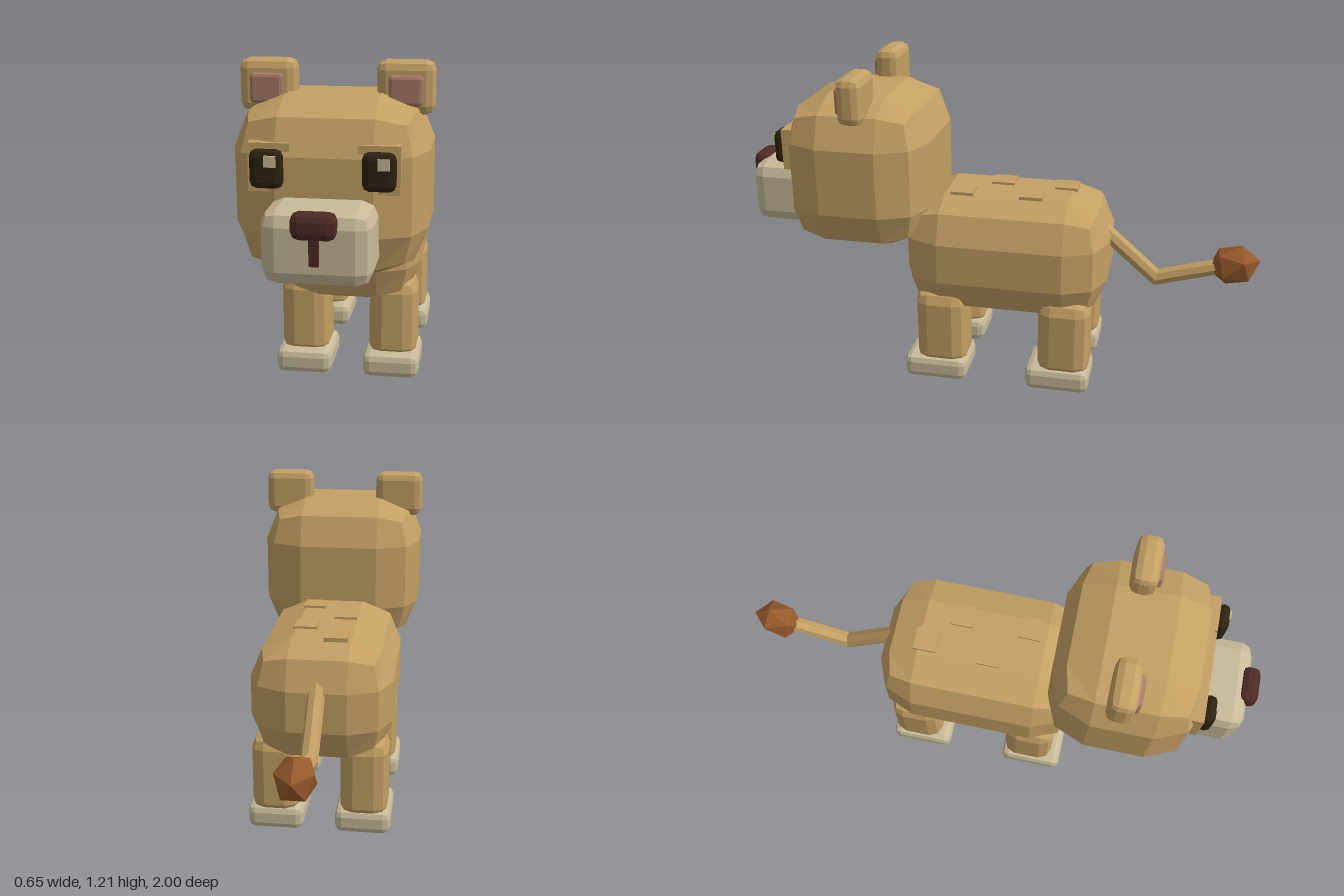
import * as THREE from 'three';

const mat = (name, color) => {
  const m = new THREE.MeshStandardMaterial({ color });
  m.name = name;
  return m;
};

// Flat normals: every face gets its own corners
function faceted(geo) {
  const g = geo.index ? geo.toNonIndexed() : geo;
  g.computeVertexNormals();
  return g;
}

// Box with one facet of rounding (radius r) along all edges
function softBox(w, h, d, r) {
  const half = [w / 2, h / 2, d / 2];
  const geo = new THREE.BoxGeometry(2, 2, 2, 3, 3, 3);
  const pos = geo.attributes.position;
  for (let i = 0; i < pos.count; i++) {
    const p = [pos.getX(i), pos.getY(i), pos.getZ(i)];
    const outer = p.map((v) => Math.abs(v) > 0.9);
    const k = r / Math.sqrt(outer.filter(Boolean).length);
    const q = p.map((v, a) => Math.sign(v) * (half[a] - r + (outer[a] ? k : 0)));
    pos.setXYZ(i, q[0], q[1], q[2]);
  }
  return faceted(geo);
}

export function createModel() {
  const model = new THREE.Group();
  model.name = 'lionCub';

  const fur = mat('tan fur', 0xc4a064);
  const cream = mat('cream', 0xc8bb9a);
  const noseBrown = mat('nose brown', 0x4e2a24);
  const eyeDark = mat('eye dark', 0x2e2210);
  const earPink = mat('inner ear', 0xa87a68);
  const tuftBrown = mat('tuft brown', 0x96592b);

  const add = (name, geo, material, x, y, z) => {
    const mesh = new THREE.Mesh(geo, material);
    mesh.name = name;
    mesh.position.set(x, y, z);
    model.add(mesh);
    return mesh;
  };

  // Body and head
  add('body', softBox(0.53, 0.465, 0.785, 0.155), fur, 0, 0.505, -0.038);
  add('head', softBox(0.64, 0.585, 0.555, 0.165), fur, 0, 0.82, 0.52);

  // Square raised spots along the back
  [[-0.053, -0.249], [0.074, -0.132], [-0.063, 0], [0.074, 0.132]].forEach(([x, z]) =>
    add('backSpot', new THREE.BoxGeometry(0.088, 0.02, 0.088), fur, x, 0.736, z));

  // Muzzle, nose and mouth
  add('muzzle', softBox(0.345, 0.24, 0.25, 0.05), cream, 0, 0.7, 0.84);
  add('nose', softBox(0.14, 0.085, 0.07, 0.025), noseBrown, 0, 0.782, 0.965);
  add('mouth', new THREE.BoxGeometry(0.03, 0.085, 0.02), noseBrown, 0, 0.7, 0.967);

  for (const s of [-1, 1]) {
    const side = s > 0 ? 'left' : 'right';

    // Eyes on square sockets; both glints sit toward +x
    add(side + 'EyeSocket', new THREE.BoxGeometry(0.134, 0.155, 0.05), fur, s * 0.173, 0.913, 0.766);
    add(side + 'Eye', softBox(0.106, 0.124, 0.05, 0.022), eyeDark, s * 0.176, 0.913, 0.808);
    add(side + 'EyeGlint', new THREE.BoxGeometry(0.037, 0.036, 0.008), cream, s * 0.176 + 0.016, 0.941, 0.833);

    // Ears
    add(side + 'Ear', softBox(0.192, 0.176, 0.094, 0.03), fur, s * 0.229, 1.129, 0.495);
    add(side + 'InnerEar', softBox(0.113, 0.1, 0.04, 0.012), earPink, s * 0.23, 1.122, 0.538);

    // Legs and paws
    for (const [name, legZ, pawZ] of [['Front', 0.198, 0.217], ['Back', -0.282, -0.263]]) {
      add(side + name + 'Leg', softBox(0.178, 0.32, 0.198, 0.05), fur, s * 0.166, 0.213, legZ);
      add(side + name + 'Paw', softBox(0.208, 0.092, 0.246, 0.026), cream, s * 0.164, 0.049, pawZ);
    }
  }

  // Bent tail made of two straight rods
  const joints = [[0.6, -0.39], [0.408, -0.61], [0.48, -0.86]].map(([y, z]) => new THREE.Vector3(0, y, z));
  const up = new THREE.Vector3(0, 1, 0);
  for (let i = 0; i < 2; i++) {
    const dir = joints[i + 1].clone().sub(joints[i]);
    const mid = joints[i].clone().addScaledVector(dir, 0.5);
    const rod = faceted(new THREE.CylinderGeometry(0.032, 0.032, dir.length() + 0.015, 8));
    const mesh = add('tailSegment', rod, fur, mid.x, mid.y, mid.z);
    mesh.quaternion.setFromUnitVectors(up, dir.normalize());
  }

  // Tail tuft, a stretched low-poly ball pointing along the tail
  const tuft = new THREE.IcosahedronGeometry(1, 0);
  tuft.rotateX(Math.atan(2 / (1 + Math.sqrt(5))));
  tuft.scale(0.075, 0.082, 0.1);
  tuft.rotateX(0.25);
  add('tailTuft', faceted(tuft), tuftBrown, 0, 0.488, -0.9);

  return model;
}
